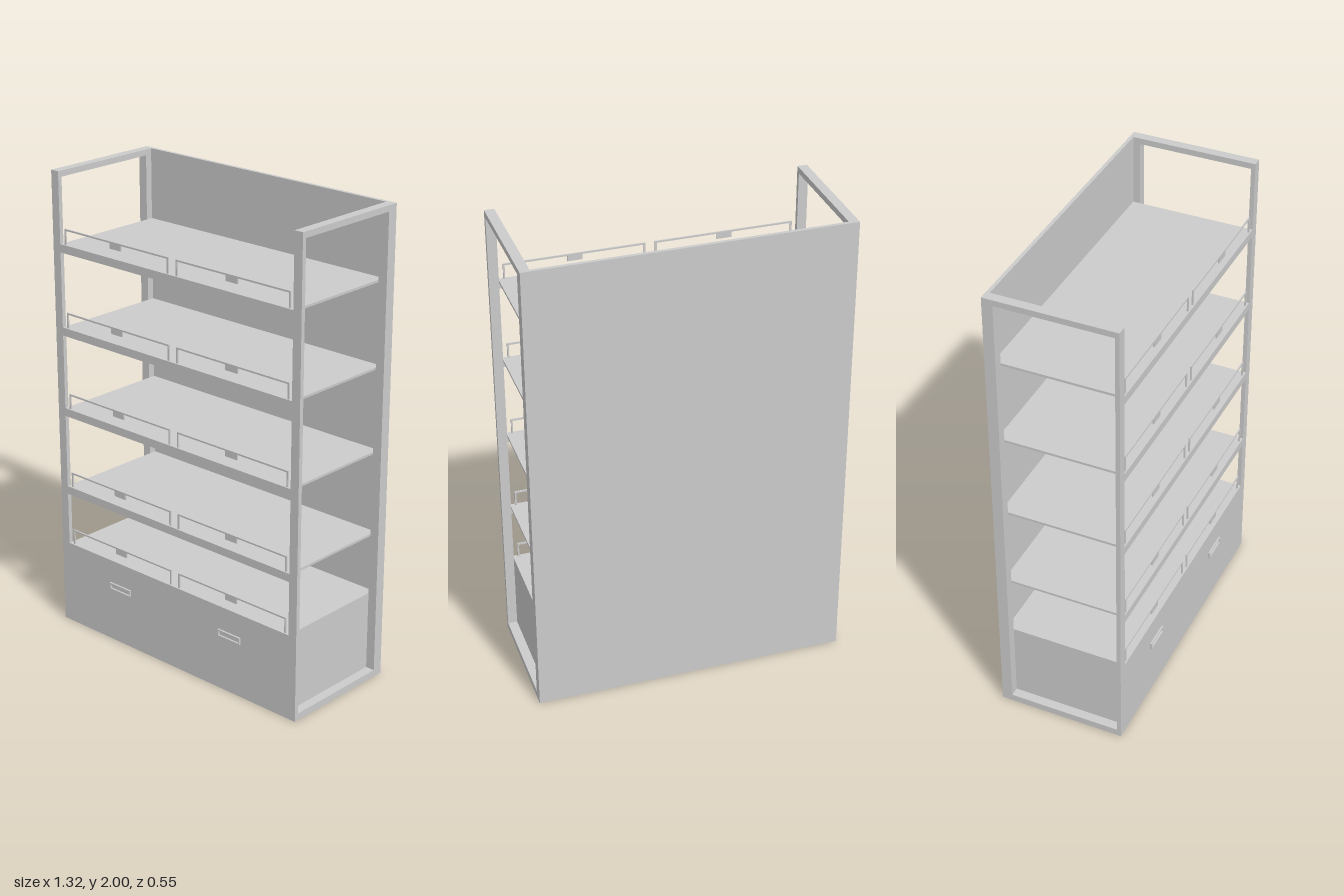
import * as THREE from 'three';

const W = 0.66, IN = 0.62;                 // outer and inner half widths
const BACK = -0.275, PANEL = -0.26, FRONT = 0.267;
const CABINET = 0.37;                      // cabinet height
const SHELVES = [0.635, 0.99, 1.345, 1.7]; // shelf top heights

export function createModel() {
  const model = new THREE.Group();
  const material = new THREE.MeshStandardMaterial({ color: 0xcccccc, flatShading: true });

  // Box given by its limits on each axis
  function box(name, parent, x0, x1, y0, y1, z0, z1) {
    const mesh = new THREE.Mesh(new THREE.BoxGeometry(x1 - x0, y1 - y0, z1 - z0), material);
    mesh.position.set((x0 + x1) / 2, (y0 + y1) / 2, (z0 + z1) / 2);
    mesh.name = name;
    parent.add(mesh);
    return mesh;
  }
  function group(name) {
    const g = new THREE.Group();
    g.name = name;
    model.add(g);
    return g;
  }

  // Back panel
  box('backPanel', model, -W, W, 0, 2, BACK, PANEL);

  // Open side frames
  for (const [side, x0, x1] of [['left', IN, W], ['right', -W, -IN]]) {
    const frame = group(side + 'SideFrame');
    box('frontPost', frame, x0, x1, 0, 2, 0.249, FRONT);
    box('rearPost', frame, x0, x1, 0, 2, PANEL, -0.23);
    box('topRail', frame, x0, x1, 1.975, 2, -0.23, 0.249);
    box('bottomRail', frame, x0, x1, 0, 0.03, -0.23, 0.249);
  }

  // Base cabinet
  box('cabinet', model, -IN, IN, 0, CABINET, PANEL, FRONT);

  // Drawer pulls: a thin raised rim around an opening
  for (const [side, s] of [['left', 1], ['right', -1]]) {
    const rim = new THREE.Shape();
    rim.moveTo(-0.06, -0.015).lineTo(0.06, -0.015).lineTo(0.06, 0.015).lineTo(-0.06, 0.015).closePath();
    const hole = new THREE.Path();
    hole.moveTo(-0.055, -0.01).lineTo(-0.055, 0.009).lineTo(0.055, 0.009).lineTo(0.055, -0.01).closePath();
    rim.holes.push(hole);
    const pull = new THREE.Mesh(
      new THREE.ExtrudeGeometry(rim, { depth: 0.008, bevelEnabled: false }), material);
    pull.position.set(s * 0.31, 0.253, FRONT);
    pull.name = side + 'DrawerPull';
    model.add(pull);
  }

  // Shelves, each a thin board behind a deeper front rail
  for (const y of SHELVES) {
    const shelf = group('shelf');
    box('board', shelf, -IN, IN, y - 0.01, y, PANEL, 0.249);
    box('frontRail', shelf, -IN, IN, y - 0.035, y, 0.249, FRONT);
  }

  // Wire guards with a label tab, two on each level
  const t = 0.007, z0 = 0.255, z1 = 0.261;
  for (const y of [CABINET, ...SHELVES]) {
    for (const s of [1, -1]) {
      const guard = group('shelfGuard');
      const c = s * 0.31, h = 0.29, top = y + 0.066;
      box('guardPost', guard, c - h, c - h + t, y, top, z0, z1);
      box('guardPost', guard, c + h - t, c + h, y, top, z0, z1);
      box('guardTopBar', guard, c - h + t, c + h - t, top - t, top, z0, z1);
      box('labelTab', guard, c - 0.031, c + 0.031, top - 0.03, top - t, z0, z1);
    }
  }
  return model;
}
